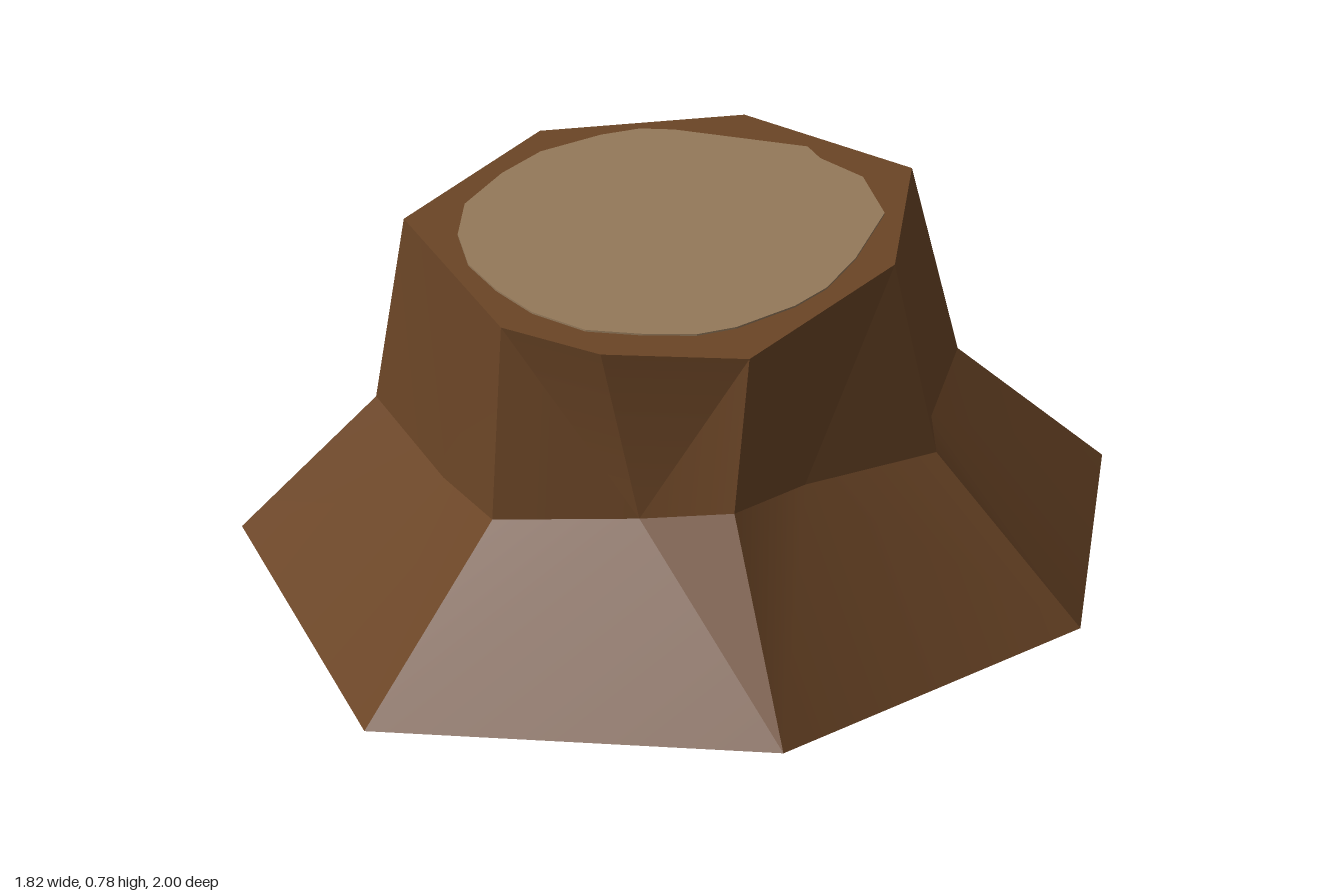
import * as THREE from 'three';
import { toCreasedNormals } from 'three/addons/utils/BufferGeometryUtils.js';

const H = 0.78;

// Seven corners around the stump: root foot, waist and rim, as [x, y, z]
const foot = [[0, 0, -1], [0.725, 0, -0.67], [0.905, 0, 0.125], [0.47, 0, 0.86],
  [-0.4, 0, 1], [-0.91, 0, 0.145], [-0.705, 0, -0.61]];
const waist = [[0, 0.355, -0.62], [0.48, 0.33, -0.43], [0.585, 0.355, 0.1], [0.295, 0.42, 0.62],
  [-0.225, 0.345, 0.64], [-0.62, 0.34, 0.14], [-0.46, 0.34, -0.38]];
const rim = [[0, H, -0.49], [0.405, H, -0.345], [0.495, H, 0.1], [0.325, H, 0.61],
  [-0.215, H, 0.61], [-0.55, H, 0.175], [-0.39, H, -0.3]];

// Point halfway along each side, pinched in at the waist
const waistMid = [[0.29, 0.35, -0.475], [0.52, 0.34, -0.09], [0.38, 0.385, 0.38], [0.08, 0.365, 0.59],
  [-0.4, 0.305, 0.4], [-0.55, 0.34, -0.12], [-0.22, 0.345, -0.52]];
const rimMid = rim.map((p, i) => p.map((v, k) => (v + rim[(i + 1) % 7][k]) / 2));
rimMid[3] = [0.02, H, 0.675];

function meshFrom(name, triangles, material) {
  const geometry = new THREE.BufferGeometry();
  geometry.setAttribute('position', new THREE.Float32BufferAttribute(triangles.flat(2), 3));
  geometry.computeVertexNormals();
  const mesh = new THREE.Mesh(toCreasedNormals(geometry, 0.35), material);
  mesh.name = name;
  return mesh;
}

export function createModel() {
  const group = new THREE.Group();
  group.name = 'treeStump';
  const bark = new THREE.MeshStandardMaterial({ name: 'bark brown', color: 0x6b4526, side: THREE.DoubleSide });
  const wood = new THREE.MeshStandardMaterial({ name: 'cut wood tan', color: 0x94795a });

  const roots = [], trunk = [], cap = [];
  const centre = [0, H, 0.1];
  for (let i = 0; i < 7; i++) {
    const j = (i + 1) % 7;
    const m = waistMid[i], r = rimMid[i];
    roots.push([foot[i], waist[i], m], [foot[i], m, foot[j]], [foot[j], m, waist[j]]);
    trunk.push([waist[i], rim[i], m], [rim[i], r, m], [r, rim[j], m], [m, rim[j], waist[j]]);
    cap.push([centre, r, rim[i]], [centre, rim[j], r]);
  }
  // Open-bottomed bark shell, smoothed as one surface
  group.add(meshFrom('barkSides', [...roots, ...trunk], bark));
  group.add(meshFrom('barkTop', cap, bark));

  // Uneven pale cut face, set through the top
  const outline = [[-0.19, -0.36], [-0.12, -0.375], [0.17, -0.375], [0.21, -0.33], [0.32, -0.27],
    [0.38, -0.17], [0.41, -0.12], [0.41, 0.1], [0.39, 0.25], [0.35, 0.35], [0.26, 0.48],
    [0.19, 0.535], [0.08, 0.565], [-0.04, 0.58], [-0.17, 0.53], [-0.27, 0.45], [-0.36, 0.35],
    [-0.42, 0.22], [-0.445, 0.08], [-0.41, -0.08], [-0.36, -0.2], [-0.26, -0.31]];
  const shape = new THREE.Shape(outline.map(([x, z]) => new THREE.Vector2(x, -z)));
  const plate = new THREE.ExtrudeGeometry(shape, { depth: 0.008, bevelEnabled: false });
  plate.rotateX(-Math.PI / 2);
  const cutFace = new THREE.Mesh(plate, wood);
  cutFace.name = 'cutFace';
  cutFace.position.y = H - 0.004;
  group.add(cutFace);

  return group;
}
